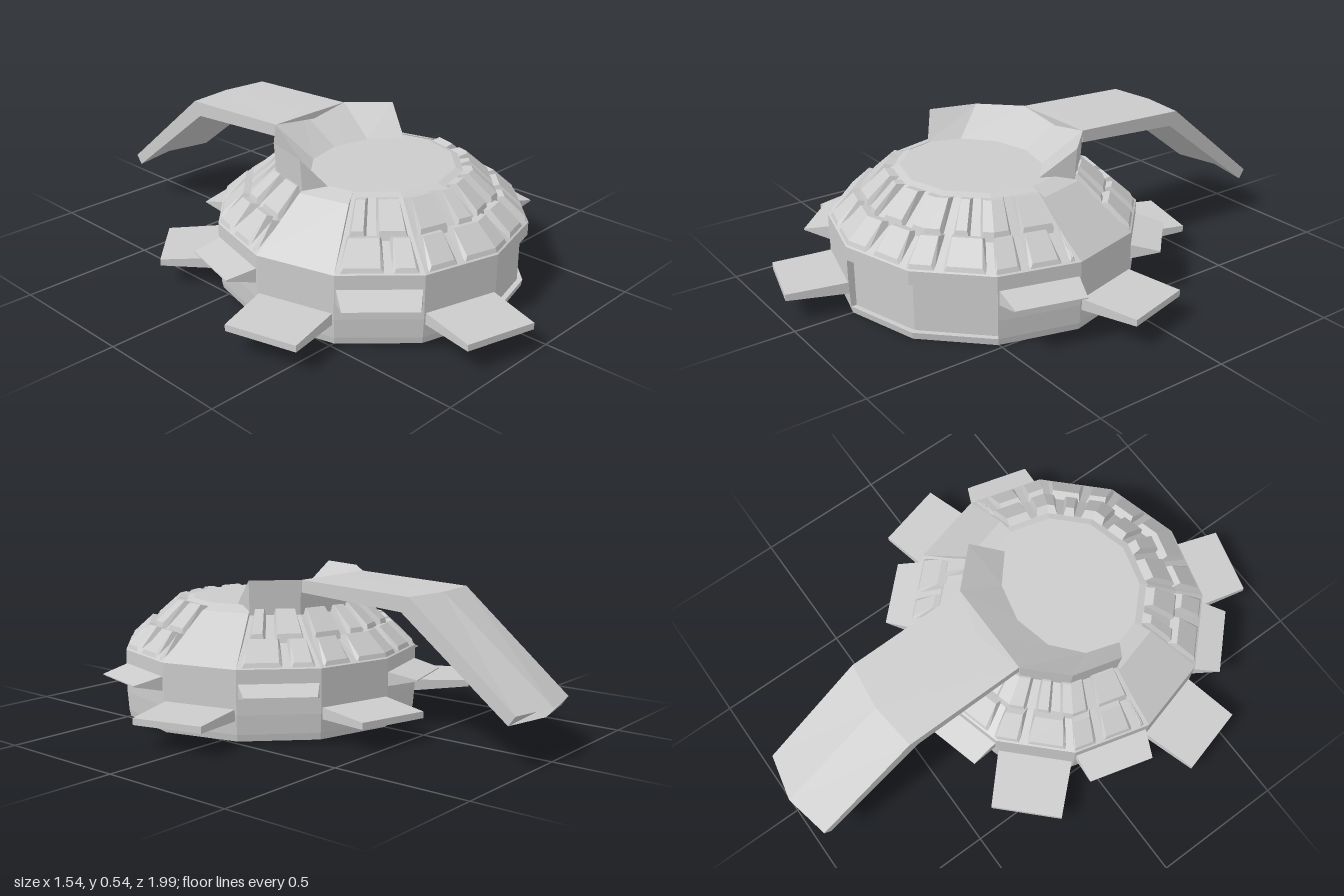
import * as THREE from 'three';

const material = new THREE.MeshStandardMaterial({ color: 0xcccccc, flatShading: true });
const rad = THREE.MathUtils.degToRad;

// Solid through a list of cross-sections with equal point counts, capped at both ends
function loft(sections) {
  const n = sections[0].length;
  const tris = [];
  for (let s = 0; s < sections.length - 1; s++) {
    for (let i = 0; i < n; i++) {
      const j = (i + 1) % n;
      const a = sections[s][i], b = sections[s][j];
      const c = sections[s + 1][j], d = sections[s + 1][i];
      tris.push([a, b, c], [a, c, d]);
    }
  }
  const first = sections[0], last = sections[sections.length - 1];
  for (let i = 1; i < n - 1; i++) {
    tris.push([first[0], first[i + 1], first[i]], [last[0], last[i], last[i + 1]]);
  }
  // Turn the faces outward if the solid came out inside out
  let volume = 0;
  for (const [a, b, c] of tris) volume += a.dot(b.clone().cross(c));
  if (volume < 0) tris.forEach(t => t.reverse());
  const geometry = new THREE.BufferGeometry().setFromPoints(tris.flat());
  geometry.computeVertexNormals();
  return geometry;
}

// Point on a twelve-sided ring; angle in degrees from the front towards +x
function ringPoint(radius, y, angle) {
  const local = ((angle % 30) + 30) % 30 - 15;
  const r = radius * Math.cos(rad(15)) / Math.cos(rad(local));
  return new THREE.Vector3(r * Math.sin(rad(angle)), y, r * Math.cos(rad(angle)));
}

// Sweep a profile round the ring; inset narrows the outer points to bevel the ends
function sweep(profile, from, to, inset = []) {
  const angles = [from];
  for (let a = Math.floor(from / 30) * 30 + 30; a < to - 0.01; a += 30) angles.push(a);
  angles.push(to);
  return loft(angles.map((angle, k) => profile.map(([r, y], i) => {
    const side = k === 0 ? 1 : k === angles.length - 1 ? -1 : 0;
    return ringPoint(r, y, angle + side * (inset[i] || 0));
  })));
}

export function createModel() {
  const model = new THREE.Group();
  model.name = 'domedHull';
  const hull = new THREE.Group();
  hull.name = 'hull';
  hull.position.z = 0.225;
  model.add(hull);

  const add = (name, geometry) => {
    const mesh = new THREE.Mesh(geometry, material);
    mesh.name = name;
    hull.add(mesh);
    return mesh;
  };

  // Twelve-sided core with its wall set back behind the outer wall
  const core = [
    [0, 0.005], [0.555, 0.005], [0.56, 0.03], [0.54, 0.03], [0.54, 0.21], [0.565, 0.21],
    [0.565, 0.26], [0.45, 0.335], [0.33, 0.43], [0.3, 0.44], [0, 0.44],
  ].map(([r, y]) => new THREE.Vector2(r, y));
  add('core', new THREE.LatheGeometry(core, 12));

  // Outer wall, leaving the shallow two-facet recess at the front left
  add('outerWall', sweep(
    [[0.52, 0.03], [0.56, 0.03], [0.565, 0.1], [0.565, 0.21], [0.52, 0.21]], 60, 360));

  // Plain roof facets on opposite sides
  for (const start of [90, 270]) {
    add('plainRoofFacet', sweep(
      [[0.565, 0.26], [0.365, 0.422], [0.3, 0.442], [0.4, 0.3]], start, start + 30));
  }

  // Two rows of bevelled roof tiles, alternating wide and narrow
  const lowerTile = [[0.562, 0.255], [0.553, 0.28], [0.475, 0.35], [0.43, 0.34]];
  const upperTile = [[0.46, 0.32], [0.447, 0.362], [0.36, 0.438], [0.32, 0.43]];
  const bevel = [0, 1.5, 1.5, 0];
  const addRow = (name, profile, start, widths, gap) => {
    let angle = start;
    for (let i = 0; angle < start + 149; i++) {
      const end = Math.min(angle + widths[i % widths.length], start + 150);
      add(name, sweep(profile, angle + gap / 2, end - gap / 2, bevel));
      angle = end;
    }
  };
  for (const start of [-60, 120]) {
    addRow('lowerRoofTile', lowerTile, start, [18, 12, 15, 26, 16, 13], 2.5);
    addRow('upperRoofTile', upperTile, start, [12, 18, 20, 13, 17, 20], 4);
  }

  // Horizontal fins, low and high in turn round the wall
  const addFin = (name, angle, y, length, rootHalf, tipHalf, tipWidth) => {
    const section = (dist, w, h) => [[-w, -h], [w, -h], [w, h], [-w, h]]
      .map(([x, dy]) => new THREE.Vector3(x, y + dy, dist));
    const fin = add(name, loft([
      section(0.5, 0.14, rootHalf), section(0.546, 0.14, rootHalf),
      section(length, tipWidth / 2, tipHalf),
    ]));
    fin.rotation.y = rad(angle);
  };
  for (let k = 0; k < 5; k++) {
    addFin('upperFin', 75 + 60 * k, 0.183, 0.65, 0.026, 0.002, 0.25);
    addFin('lowerFin', 105 + 60 * k, 0.1, 0.76, 0.021, 0.012, 0.265);
  }

  // Half collar: upright outside, sloping down to the deck inside
  const collar = [];
  for (let angle = 120; angle <= 270; angle += 30) {
    const s = Math.sin(rad(angle)), c = Math.cos(rad(angle));
    collar.push([
      new THREE.Vector3(0.35 * s, 0.4, 0.35 * c),
      new THREE.Vector3(0.36 * s, 0.54, 0.36 * c),
      new THREE.Vector3(0.285 * s, 0.438, 0.06 + 0.245 * c),
    ]);
  }
  add('collar', loft(collar));

  // Bent tail slab with a shallow point along the middle
  const tail = [
    // top y, top z, bottom y, bottom z, middle z offset
    [0.54, -0.312, 0.495, -0.312, -0.048],
    [0.522, -0.775, 0.468, -0.745, -0.02],
    [0.185, -1.185, 0.15, -1.16, -0.038],
  ];
  add('tailSlab', loft(tail.map(([ty, tz, by, bz, mid]) => [
    new THREE.Vector3(-0.178, ty, tz), new THREE.Vector3(0, ty, tz + mid),
    new THREE.Vector3(0.178, ty, tz), new THREE.Vector3(0.178, by, bz),
    new THREE.Vector3(0, by, bz + mid), new THREE.Vector3(-0.178, by, bz),
  ])));

  return model;
}
